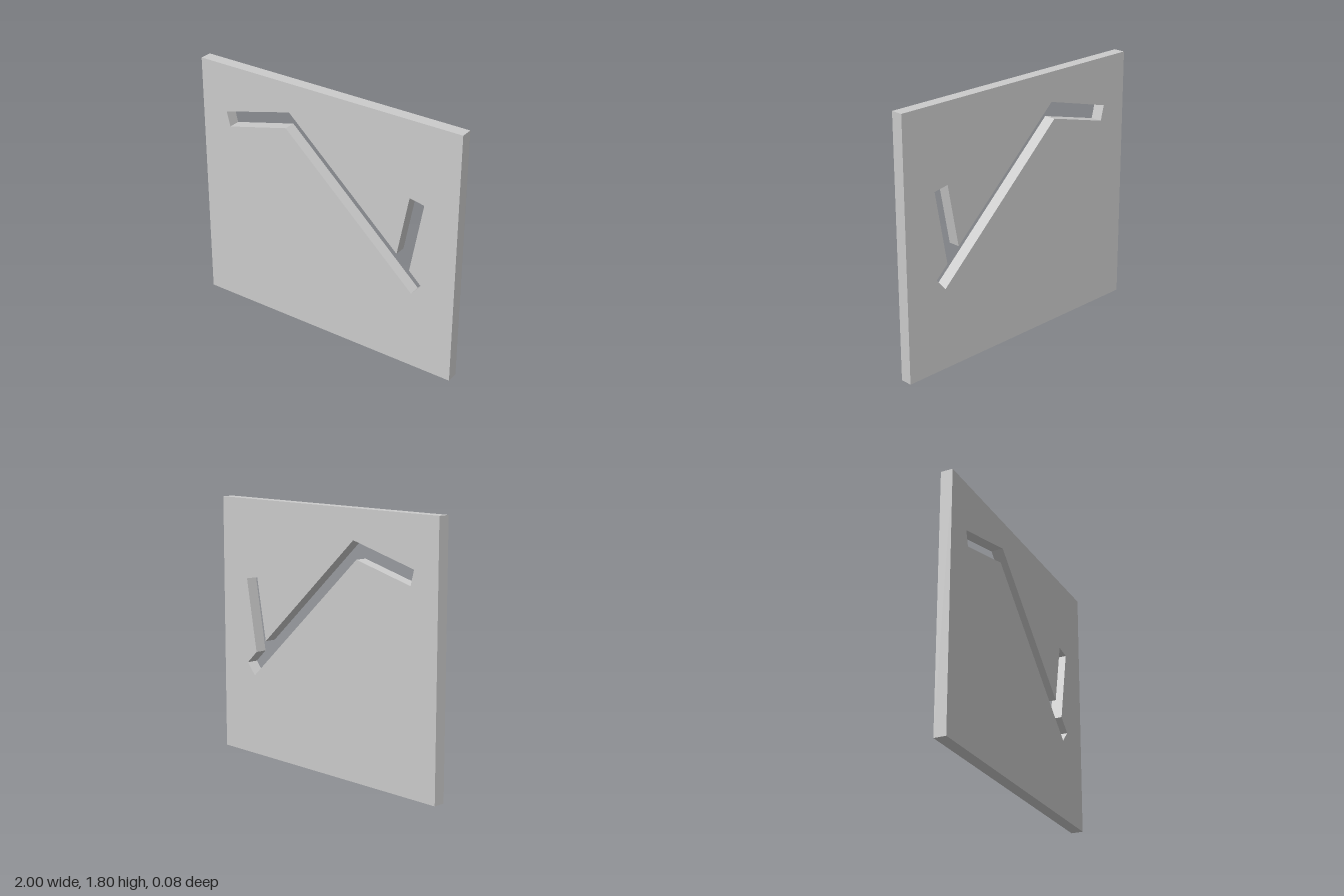
import * as THREE from 'three';

export function createModel() {
  const group = new THREE.Group();
  const height = 1.805, depth = 0.084;
  const toPoints = (list) => list.map(([x, y]) => new THREE.Vector2(x, y));

  // Upright rectangular panel
  const outline = new THREE.Shape(toPoints([[-1, 0], [1, 0], [1, height], [-1, height]]));

  // Bent slot with a side branch, cut right through
  outline.holes.push(new THREE.Path(toPoints([
    [-0.803, 1.463], [-0.281, 1.6], [0.565, 0.828], [0.648, 1.267], [0.756, 1.248],
    [0.663, 0.737], [0.756, 0.65], [0.684, 0.567], [-0.31, 1.478], [-0.776, 1.358],
  ])));

  const geometry = new THREE.ExtrudeGeometry(outline, { depth, bevelEnabled: false });
  geometry.translate(0, 0, -depth / 2);

  const panel = new THREE.Mesh(
    geometry,
    new THREE.MeshStandardMaterial({ color: 0xcccccc, flatShading: true })
  );
  panel.name = 'slottedPanel';
  group.add(panel);
  return group;
}
